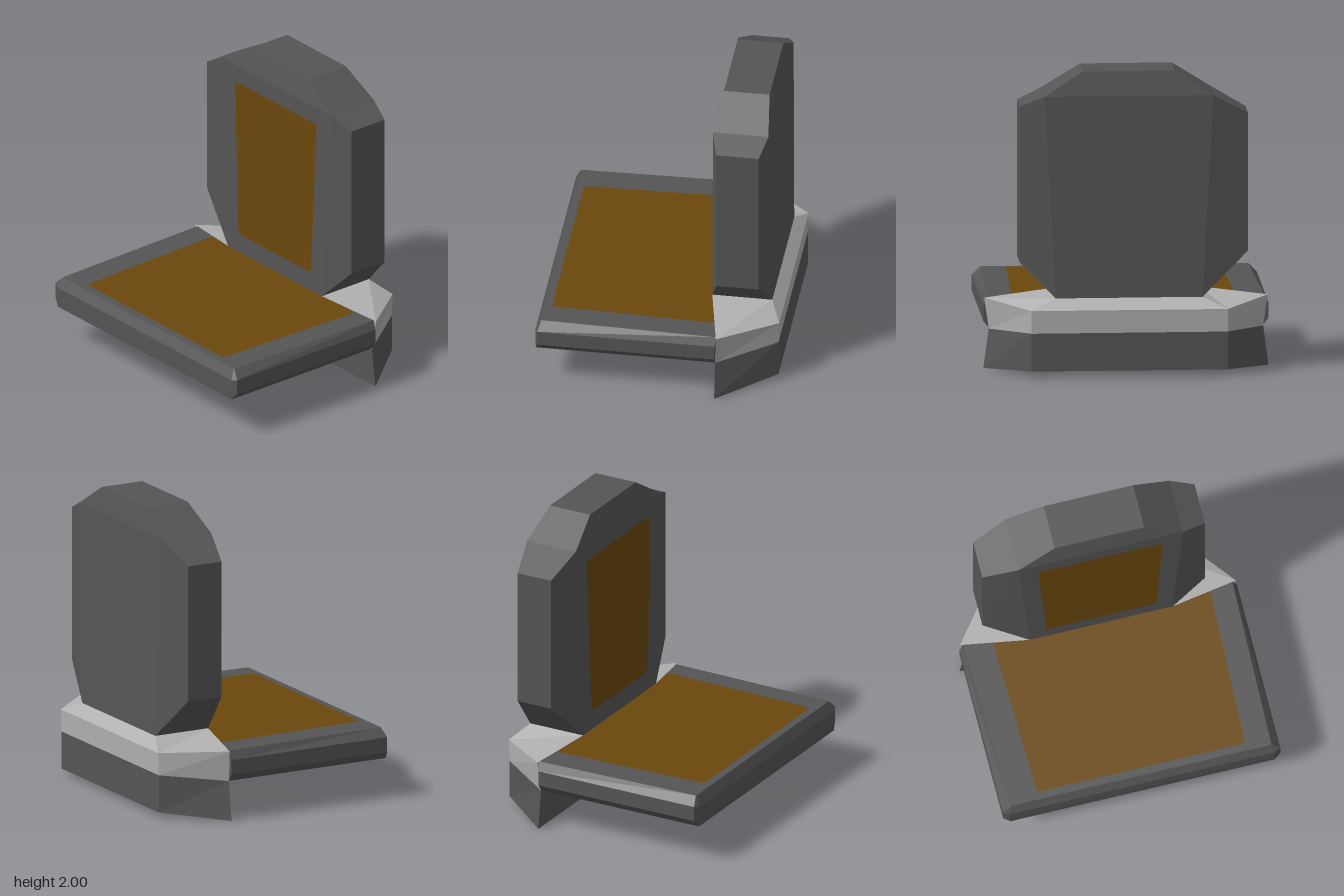
import * as THREE from 'three';

const dark = new THREE.MeshStandardMaterial({ name: 'dark grey', color: 0x555555 });
const light = new THREE.MeshStandardMaterial({ name: 'light grey', color: 0xb0b0b0 });
const amber = new THREE.MeshStandardMaterial({ name: 'amber brown', color: 0x6a470c, side: THREE.DoubleSide });
for (const m of [dark, light]) m.flatShading = true;

// Flat-shaded mesh from convex polygons, each a list of [x, y, z] corners
function polyMesh(name, material, polys) {
  const pos = [];
  for (const p of polys)
    for (let i = 1; i < p.length - 1; i++) pos.push(...p[0], ...p[i], ...p[i + 1]);
  const g = new THREE.BufferGeometry();
  g.setAttribute('position', new THREE.Float32BufferAttribute(pos, 3));
  g.computeVertexNormals();
  const mesh = new THREE.Mesh(g, material);
  mesh.name = name;
  return mesh;
}

// Side quads between two matching rings
const band = (a, b) => a.map((p, i) => {
  const j = (i + 1) % a.length;
  return [p, a[j], b[j], b[i]];
});

// Ring mirrored in x, given its right half from back to front
const mirrored = (half) => {
  const left = half.map(([x, y, z]) => [-x, y, z]);
  return [...left, ...[...half].reverse()];
};

// Four-sided panel with slightly rounded corners
function panel(name, corners) {
  const v = corners.map(([x, y]) => new THREE.Vector2(x, y));
  const shape = new THREE.Shape();
  v.forEach((p, i) => {
    const prev = v[(i + 3) % 4], next = v[(i + 1) % 4];
    const a = p.clone().add(prev.clone().sub(p).setLength(0.025));
    const b = p.clone().add(next.clone().sub(p).setLength(0.025));
    if (i === 0) shape.moveTo(a.x, a.y); else shape.lineTo(a.x, a.y);
    shape.quadraticCurveTo(p.x, p.y, b.x, b.y);
  });
  const mesh = new THREE.Mesh(new THREE.ShapeGeometry(shape, 3), amber);
  mesh.name = name;
  return mesh;
}

export function createModel() {
  const model = new THREE.Group();
  model.name = 'chair';

  // Backrest: outline with front and back depth at every corner
  const outline = [
    [0.48, 0.51, -0.32, -0.715], [0.71, 0.74, -0.38, -0.66],
    [0.71, 1.77, -0.38, -0.66], [0.55, 1.84, -0.335, -0.70],
    [0.30, 2.00, -0.37, -0.67], [-0.30, 2.00, -0.37, -0.67],
    [-0.55, 1.84, -0.335, -0.70], [-0.78, 1.71, -0.39, -0.64],
    [-0.78, 0.80, -0.39, -0.64], [-0.48, 0.51, -0.32, -0.715],
  ];
  const front = outline.map(([x, y, f]) => [x, y, f]);
  const back = outline.map(([x, y, , b]) => [x, y, b]);
  const faces = [[9, 0, 3, 6], [6, 3, 4, 5], [0, 1, 2, 3], [8, 9, 6, 7]];
  model.add(polyMesh('backrest', dark, [
    ...band(back, front),
    ...faces.map((f) => f.map((i) => front[i])),
    ...faces.map((f) => f.map((i) => back[i]).reverse()),
  ]));

  // Seat: bevelled slab stacked from rings, bottom to top
  const seat = [
    [[0.89, 0.26, -0.40], [0.89, 0.26, 0.775], [0.885, 0.26, 0.78]],
    [[0.93, 0.31, -0.40], [0.93, 0.31, 0.765], [0.89, 0.31, 0.782]],
    [[0.93, 0.41, -0.40], [0.93, 0.41, 0.765], [0.89, 0.40, 0.782]],
    [[0.90, 0.467, -0.41], [0.875, 0.467, 0.745], [0.87, 0.467, 0.75]],
  ].map(mirrored);
  model.add(polyMesh('seat', dark, [
    ...band(seat[0], seat[1]), ...band(seat[1], seat[2]), ...band(seat[2], seat[3]),
    seat[3], [...seat[0]].reverse(),
  ]));

  // Rear support: dark skirt, light collar rising to the backrest
  const support = [
    [[0.64, 0.04, -0.78], [0.93, 0, -0.40]],
    [[0.64, 0.29, -0.78], [0.895, 0.26, -0.40]],
    [[0.64, 0.44, -0.785], [0.925, 0.467, -0.41]],
    [[0.48, 0.51, -0.715], [0.48, 0.51, -0.32]],
  ].map(mirrored);
  const slope = band(support[2], support[3]);
  model.add(polyMesh('supportSkirt', dark, [
    ...band(support[0], support[1]), [...support[0]].reverse(),
  ]));
  model.add(polyMesh('supportCollar', light, [
    ...band(support[1], support[2]), ...slope.filter((_, i) => i !== 1),
  ]));
  model.add(polyMesh('supportFront', dark, [slope[1]]));

  // Upholstery panels, just proud of the surfaces they cover
  const backPanel = panel('backPanel', [[-0.37, 0.13], [0.37, 0.13], [0.415, 1.215], [-0.42, 1.215]]);
  backPanel.rotation.x = -0.0113;
  backPanel.position.set(0, 0.51, -0.316);
  model.add(backPanel);
  const seatPanel = panel('seatPanel', [[-0.685, -0.70], [0.71, -0.70], [0.745, 0.38], [-0.715, 0.38]]);
  seatPanel.rotation.x = -Math.PI / 2;
  seatPanel.position.y = 0.471;
  model.add(seatPanel);

  return model;
}
